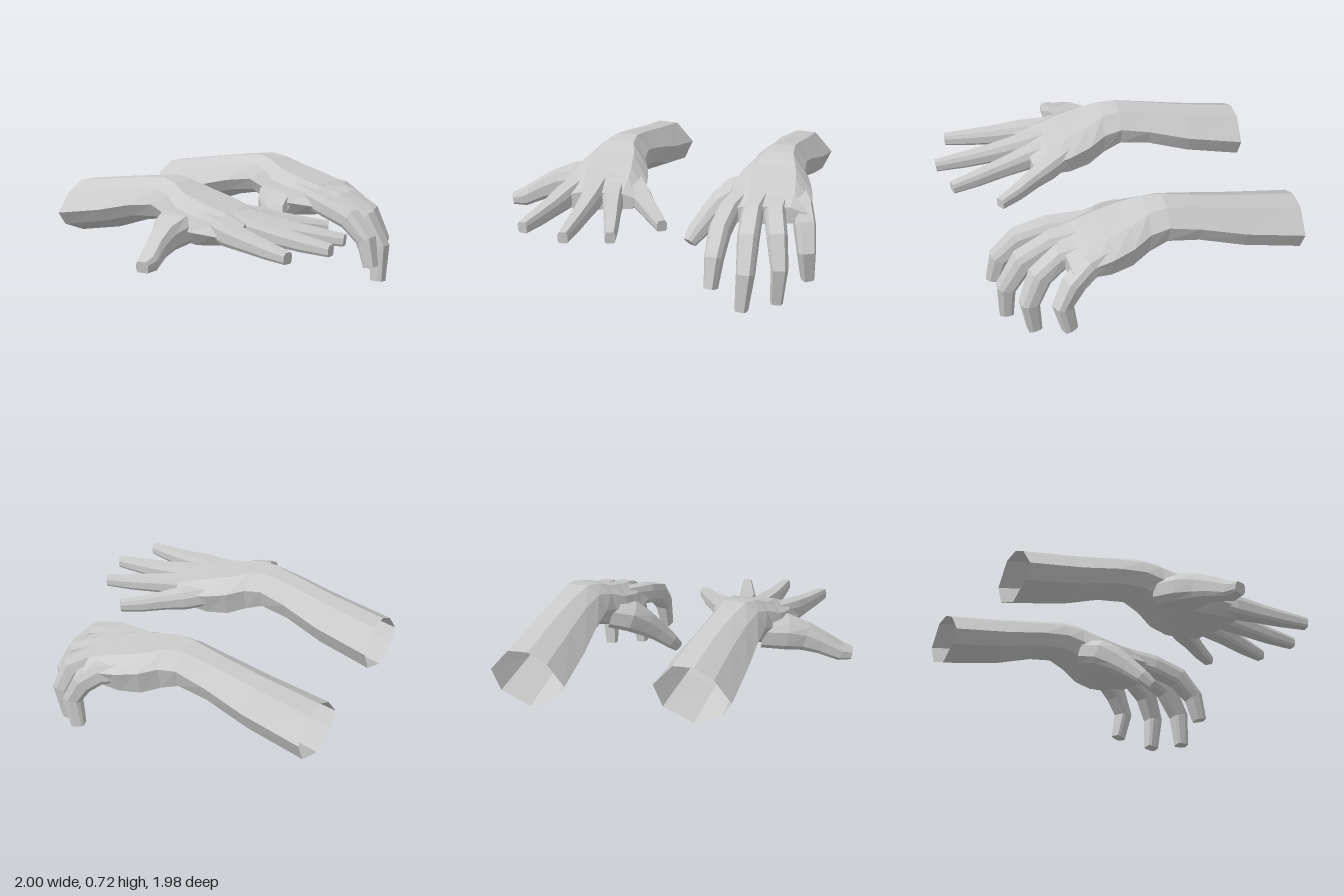
import * as THREE from 'three';

const material = new THREE.MeshStandardMaterial({ color: 0xcccccc, flatShading: true, side: THREE.DoubleSide });
const V = (x, y, z) => new THREE.Vector3(x, y, z);

// Outlines as [side, up], counter-clockwise
const armOutline = [[0.05, -1], [0.75, -0.6], [1, -0.1], [0.55, 0.65], [0.05, 1], [-0.5, 0.97], [-1, 0.2], [-0.75, -0.55]];
const palmOutline = [[0, -1], [0.75, -0.9], [1, -0.2], [0.85, 0.5], [0.45, 0.95], [-0.6, 0.95], [-1, 0.3], [-0.85, -0.75]];
const fingerOutline = [[0.75, -1], [1, -0.6], [1, 0.4], [0.68, 1], [-0.68, 1], [-1, 0.4], [-1, -0.6], [-0.75, -1]];

// Skin a series of rings, closing only the far end
function skin(name, rings) {
  const n = rings[0].length, index = [];
  const points = rings.flat();
  for (let i = 0; i < rings.length - 1; i++) {
    for (let j = 0; j < n; j++) {
      const a = i * n + j, b = i * n + (j + 1) % n;
      index.push(a, b + n, b, a, a + n, b + n);
    }
  }
  const last = (rings.length - 1) * n;
  const centre = rings.at(-1).reduce((s, p) => s.add(p), V(0, 0, 0)).divideScalar(n);
  points.push(centre);
  for (let j = 0; j < n; j++) index.push(points.length - 1, last + (j + 1) % n, last + j);
  const geometry = new THREE.BufferGeometry().setFromPoints(points);
  geometry.setIndex(index);
  const flat = geometry.toNonIndexed();
  flat.computeVertexNormals();
  const mesh = new THREE.Mesh(flat, material);
  mesh.name = name;
  return mesh;
}

// Finger or thumb: path points with half widths and half heights
function digit(name, path, widths, heights, bulk) {
  const pts = path.map(p => V(...p));
  const side0 = pts.at(-1).clone().sub(pts[0]).setY(0).cross(V(0, 1, 0)).normalize();
  const rings = pts.map((p, i) => {
    const t = pts[Math.min(i + 1, pts.length - 1)].clone().sub(pts[Math.max(i - 1, 0)]).normalize();
    const side = side0.clone().addScaledVector(t, -side0.dot(t)).normalize();
    const up = side.clone().cross(t);
    const grow = i < 2 ? 1 : bulk;
    return fingerOutline.map(([u, v]) =>
      p.clone().addScaledVector(side, u * widths[i] * grow).addScaledVector(up, v * heights[i] * grow));
  });
  return skin(name, rings);
}

// Forearm and palm sections: x, centre z, half width, bottom y, top y, palm blend, slant of the knuckles
const sections = [
  [-0.94, 0.315, 0.228, 0.28, 0.61, 0, 0],
  [-0.6, 0.325, 0.207, 0.35, 0.665, 0, 0],
  [-0.35, 0.343, 0.178, 0.435, 0.705, 0.15, 0],
  [-0.17, 0.35, 0.166, 0.47, 0.73, 0.5, 0],
  [-0.06, 0.355, 0.18, 0.43, 0.715, 0.8, 0],
  [0.05, 0.355, 0.23, 0.39, 0.67, 1, 0],
  [0.19, 0.345, 0.255, 0.38, 0.63, 1, 0.01],
  [0.32, 0.33, 0.255, 0.4, 0.59, 1, 0.03],
  [0.45, 0.325, 0.24, 0.425, 0.535, 1, 0.04],
];

function armAndPalm(shift) {
  const rings = sections.map(([x, z, w, y0, y1, blend, slant]) => {
    const k = THREE.MathUtils.smoothstep(x, -0.94, -0.1);
    const [dx, dy, dz] = [0, 1, 2].map(i => THREE.MathUtils.lerp(shift.arm[i], shift.palm[i], k));
    return armOutline.map(([u, v], j) => {
      const a = u + (palmOutline[j][0] - u) * blend, b = v + (palmOutline[j][1] - v) * blend;
      return V(x + dx + slant * a, dy + (y0 + y1) / 2 + b * (y1 - y0) / 2, z + dz + a * w);
    });
  });
  return skin('forearmAndPalm', rings);
}

const fingerWidths = [0.06, 0.06, 0.049, 0.041, 0.03];
const fingerHeights = [0.055, 0.062, 0.05, 0.043, 0.033];
const thumbWidths = [0.14, 0.12, 0.078, 0.062, 0.058, 0.038];
const thumbHeights = [0.08, 0.085, 0.075, 0.06, 0.047, 0.033];

const spread = {
  name: 'spreadHand',
  bulk: 1,
  shift: { arm: [0, 0, 0], palm: [0, 0, 0] },
  fingers: {
    indexFinger: [[0.18, 0.54, 0.46], [0.44, 0.49, 0.53], [0.6, 0.472, 0.56], [0.75, 0.458, 0.59], [0.905, 0.447, 0.622]],
    middleFinger: [[0.18, 0.555, 0.36], [0.46, 0.5, 0.355], [0.64, 0.478, 0.352], [0.82, 0.46, 0.348], [1, 0.448, 0.344]],
    ringFinger: [[0.18, 0.545, 0.27], [0.44, 0.49, 0.23], [0.6, 0.475, 0.185], [0.77, 0.458, 0.135], [0.93, 0.447, 0.09]],
    littleFinger: [[0.12, 0.535, 0.22], [0.33, 0.49, 0.09], [0.43, 0.475, 0.025], [0.55, 0.457, -0.06], [0.67, 0.447, -0.137]],
  },
  thumb: [[0.02, 0.495, 0.44], [0.07, 0.48, 0.59], [0.095, 0.455, 0.7], [0.12, 0.415, 0.8], [0.155, 0.36, 0.91], [0.17, 0.35, 0.98]],
};

const curled = {
  name: 'curledHand',
  bulk: 1.22,
  shift: { arm: [-0.06, -0.015, -0.965], palm: [-0.02, 0, -1.01] },
  fingers: {
    indexFinger: [[0.18, 0.54, -0.54], [0.44, 0.485, -0.475], [0.62, 0.43, -0.462], [0.745, 0.31, -0.46], [0.785, 0.145, -0.452]],
    middleFinger: [[0.18, 0.55, -0.64], [0.45, 0.49, -0.615], [0.63, 0.4, -0.63], [0.735, 0.23, -0.64], [0.74, 0.012, -0.622]],
    ringFinger: [[0.18, 0.54, -0.74], [0.43, 0.485, -0.745], [0.56, 0.4, -0.785], [0.63, 0.24, -0.815], [0.605, 0.025, -0.8]],
    littleFinger: [[0.1, 0.535, -0.8], [0.29, 0.5, -0.88], [0.39, 0.42, -0.915], [0.46, 0.29, -0.94], [0.425, 0.115, -0.947]],
  },
  thumb: [[0.02, 0.495, -0.56], [0.07, 0.46, -0.44], [0.11, 0.405, -0.36], [0.16, 0.345, -0.3], [0.225, 0.265, -0.235], [0.275, 0.205, -0.2]],
};

function hand(pose) {
  const group = new THREE.Group();
  group.name = pose.name;
  group.add(armAndPalm(pose.shift));
  for (const [name, path] of Object.entries(pose.fingers)) {
    group.add(digit(name, path, fingerWidths, fingerHeights, pose.bulk));
  }
  group.add(digit('thumb', pose.thumb, thumbWidths, thumbHeights, 1));
  return group;
}

export function createModel() {
  const model = new THREE.Group();
  model.name = 'pairOfHands';
  model.add(hand(spread), hand(curled));
  return model;
}
